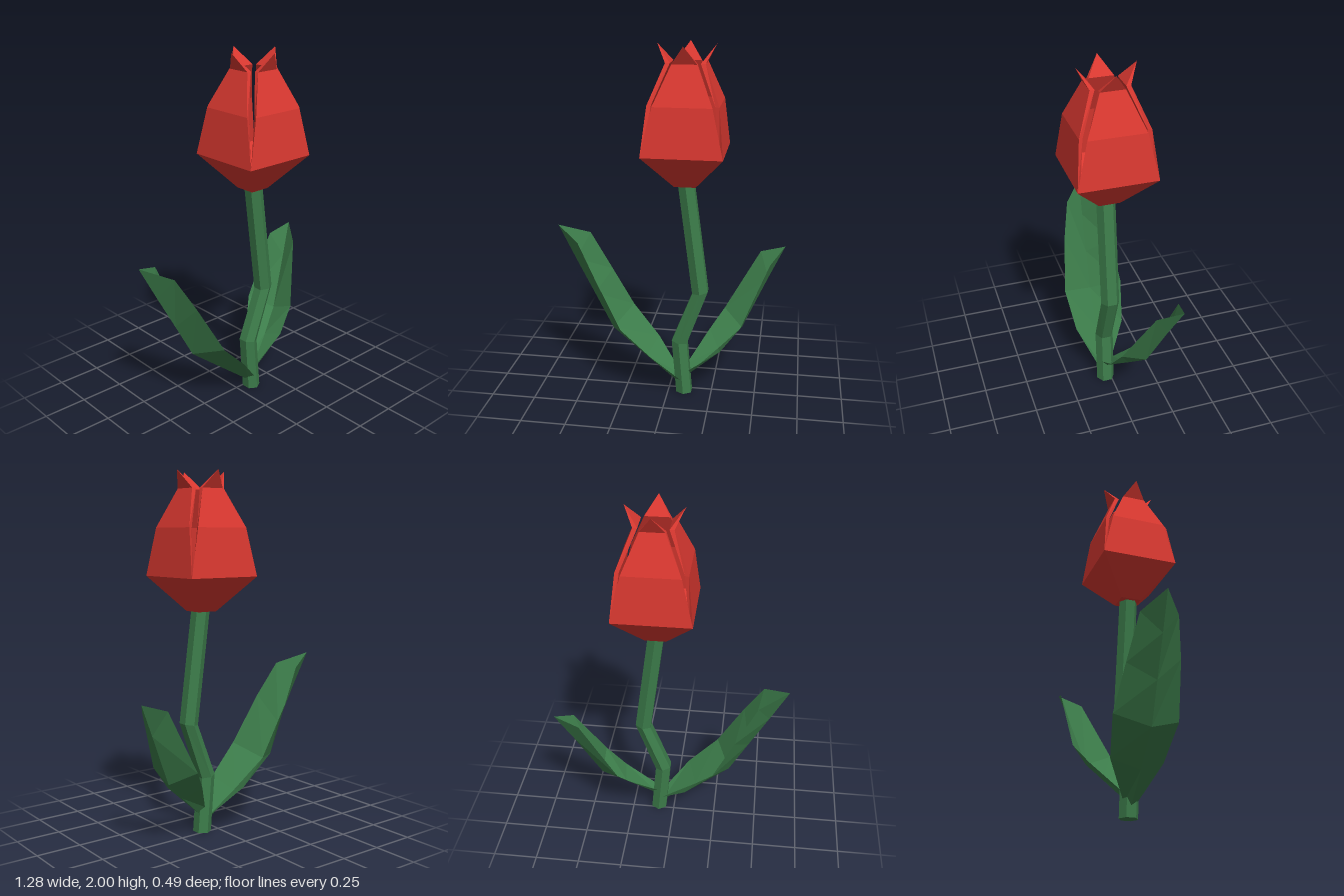
import * as THREE from 'three';

const red = new THREE.MeshStandardMaterial({ color: 0xd93830, flatShading: true, side: THREE.DoubleSide });
const green = new THREE.MeshStandardMaterial({ color: 0x3c7c4a, flatShading: true, side: THREE.DoubleSide });

// Joins successive cross-sections (equal-length lists of points) with quads.
function loft(name, rows, material, closed = true) {
  const pos = [];
  const n = rows[0].length;
  for (let r = 0; r + 1 < rows.length; r++) {
    const a = rows[r], b = rows[r + 1];
    for (let i = 0; i < (closed ? n : n - 1); i++) {
      const j = (i + 1) % n;
      for (const p of [a[i], a[j], b[j], a[i], b[j], b[i]]) pos.push(...p);
    }
  }
  const geo = new THREE.BufferGeometry();
  geo.setAttribute('position', new THREE.Float32BufferAttribute(pos, 3));
  geo.computeVertexNormals();
  const mesh = new THREE.Mesh(geo, material);
  mesh.name = name;
  return mesh;
}

// Square ring, counter-clockwise seen from above
const square = (h, y) => [[-h, y, h], [h, y, h], [h, y, -h], [-h, y, -h]];

// One petal facing +z: rows of [y, outer distance, outer half width, inner distance, inner half width]
function petal() {
  const rows = [
    [1.44, 0.215, 0.215, 0.195, 0.195],
    [1.70, 0.187, 0.155, 0.165, 0.145],
    [1.905, 0.105, 0.066, 0.08, 0.066],
    [2.0, 0.155, 0, 0.155, 0],
  ].map(([y, d, w, e, v]) => [[-w, y, d], [w, y, d], [v, y, e], [-v, y, e]]);
  return loft('petal', rows, red);
}

// Six-sided ring for the stem, slightly tilted along x
function stemRing([x, y, tilt]) {
  return Array.from({ length: 6 }, (_, i) => {
    const a = -i * Math.PI / 3 + Math.PI / 2;
    const dx = 0.05 * Math.cos(a);
    return [x + dx, y + tilt * dx, 0.03 + 0.053 * Math.sin(a)];
  }).reverse();
}

export function createModel() {
  const model = new THREE.Group();
  model.name = 'tulip';

  // Flower head: tapered cup with four separate petals
  const flower = new THREE.Group();
  flower.name = 'flowerHead';
  flower.position.set(0.095, 0, 0.026);
  flower.add(loft('cup', [square(0, 1.25), square(0.058, 1.25), square(0.215, 1.44)], red));
  for (let i = 0; i < 4; i++) {
    const p = petal();
    p.rotation.y = i * Math.PI / 2;
    flower.add(p);
  }
  model.add(flower);

  // Bent stem with a closed foot
  const rings = [[0.092, 0, 0], [0.065, 0.32, -0.15], [0.18, 0.63, 0.15], [0.097, 1.26, 0]].map(stemRing);
  const foot = rings[0].map(() => [0.092, 0, 0.03]);
  model.add(loft('stem', [foot, ...rings], green));

  // Leaves: cross-sections of back edge, low spine, front edge
  model.add(loft('rightLeaf', [
    [[0.08, 0.08, 0.0], [0.07, 0.04, 0.03], [0.08, 0.08, 0.07]],
    [[-0.08, 0.26, -0.13], [-0.13, 0.2, 0.018], [-0.08, 0.26, 0.16]],
    [[-0.24, 0.44, -0.172], [-0.33, 0.36, 0.0], [-0.25, 0.43, 0.18]],
    [[-0.36, 0.67, -0.145], [-0.437, 0.565, -0.01], [-0.4, 0.71, 0.135]],
    [[-0.48, 0.90, -0.115], [-0.545, 0.77, -0.02], [-0.505, 0.90, 0.085]],
    [[-0.645, 0.965, -0.03], [-0.645, 0.965, -0.03], [-0.645, 0.965, -0.03]],
  ], green, false));
  model.add(loft('leftLeaf', [
    [[0.10, 0.15, -0.01], [0.10, 0.09, 0.025], [0.10, 0.13, 0.06]],
    [[0.22, 0.32, -0.15], [0.28, 0.245, -0.05], [0.30, 0.28, 0.063]],
    [[0.30, 0.43, -0.22], [0.41, 0.36, -0.11], [0.41, 0.42, 0.035]],
    [[0.50, 0.79, -0.245], [0.55, 0.655, -0.175], [0.56, 0.76, -0.10]],
    [[0.64, 0.835, -0.22], [0.64, 0.835, -0.22], [0.64, 0.835, -0.22]],
  ], green, false));

  return model;
}
